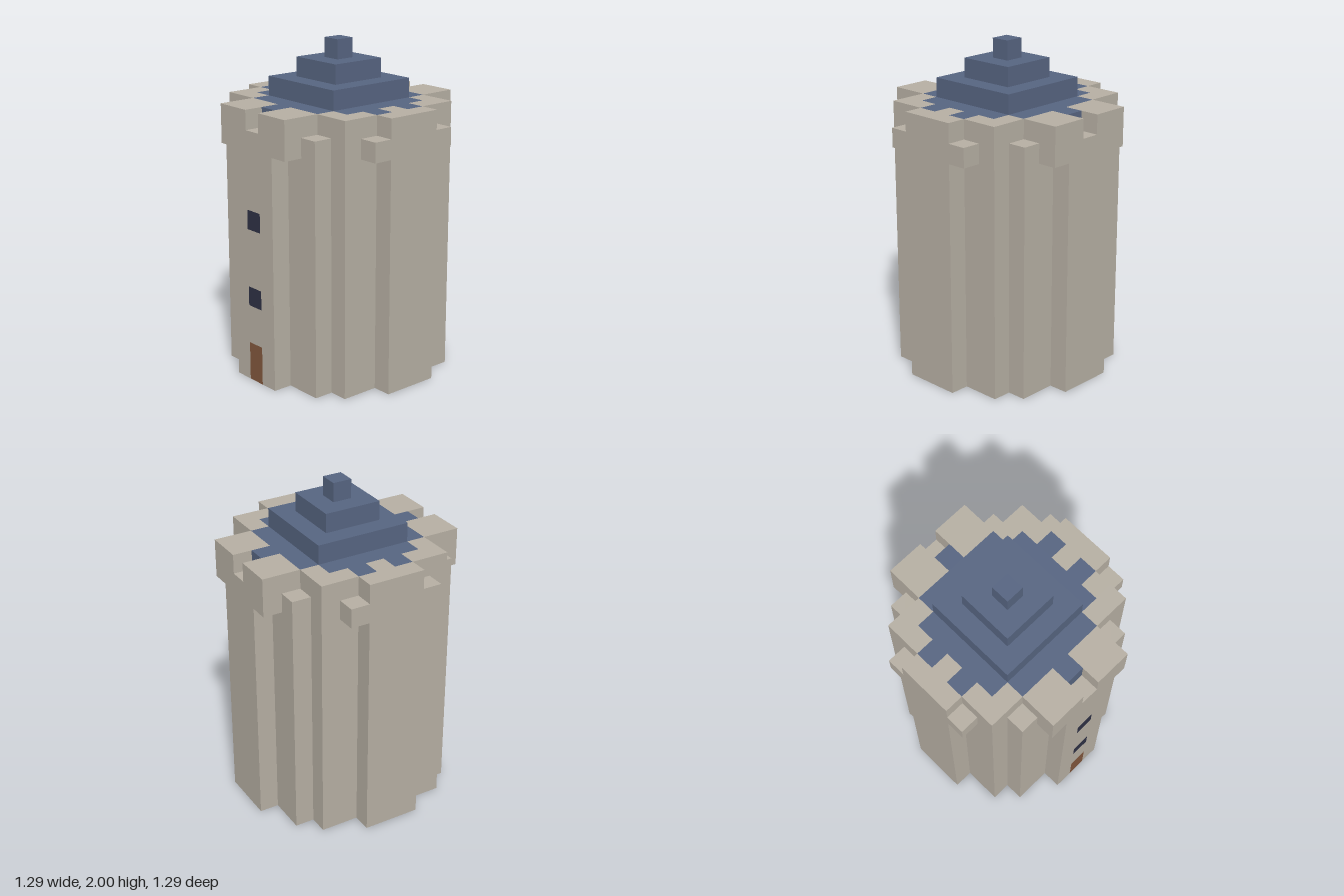
import * as THREE from 'three';

const U = 2 / 17; // edge of one block
const material = (color) => new THREE.MeshStandardMaterial({ color, flatShading: true });

export function createModel() {
  const tower = new THREE.Group();
  tower.name = 'tower';
  const stone = material(0xb5aea2);
  const slate = material(0x566480);
  const wood = material(0x80563c);
  const glass = material(0x2e3044);

  // Box given by its limits in block units
  function box(name, mat, [x0, x1], [y0, y1], [z0, z1]) {
    const geo = new THREE.BoxGeometry((x1 - x0) * U, (y1 - y0) * U, (z1 - z0) * U);
    geo.translate((x0 + x1) / 2 * U, (y0 + y1) / 2 * U, (z0 + z1) / 2 * U);
    const mesh = new THREE.Mesh(geo, mat);
    mesh.name = name;
    tower.add(mesh);
  }

  // Stepped plan mirrored from one quarter, with an optional slot in the front
  function steppedSlab(name, quarter, frontSlot, y0, y1) {
    const back = [...quarter].reverse();
    const points = [
      ...quarter,
      ...frontSlot,
      ...back.map(([x, z]) => [-x, z]),
      ...quarter.map(([x, z]) => [-x, -z]),
      ...back.map(([x, z]) => [x, -z]),
    ].map(([x, z]) => new THREE.Vector2(x * U, z * U));
    const geo = new THREE.ExtrudeGeometry(new THREE.Shape(points), { depth: (y1 - y0) * U, bevelEnabled: false });
    geo.rotateX(Math.PI / 2).translate(0, y1 * U, 0);
    const mesh = new THREE.Mesh(geo, stone);
    mesh.name = name;
    tower.add(mesh);
  }

  // Shaft, with a slot for the door and window column
  steppedSlab('shaft',
    [[5.5, 1.5], [4.5, 1.5], [4.5, 3.5], [3.5, 3.5], [3.5, 4.5], [1.5, 4.5], [1.5, 5.5]],
    [[0.5, 5.5], [0.5, 4.5], [-0.5, 4.5], [-0.5, 5.5]], 0, 12);

  // Door, windows and the wall between them
  const column = [
    ['door', wood, 0, 2], ['wallAboveDoor', stone, 2, 4], ['lowerWindow', glass, 4, 5],
    ['wallBetweenWindows', stone, 5, 8], ['upperWindow', glass, 8, 9], ['wallAboveWindow', stone, 9, 12],
  ];
  for (const [name, mat, y0, y1] of column) box(name, mat, [-0.5, 0.5], [y0, y1], [4.5, 5.5]);

  // Wider course under the battlements
  steppedSlab('parapet',
    [[5.5, 2.5], [4.5, 2.5], [4.5, 3.5], [3.5, 3.5], [3.5, 4.5], [2.5, 4.5], [2.5, 5.5]],
    [], 12, 13);

  // Battlements and the roof tabs between them
  const top = [13, 14];
  const span = (s, a, b) => (s > 0 ? [a, b] : [-b, -a]);
  for (const sx of [1, -1]) {
    box('sideMerlon', stone, span(sx, 4.5, 5.5), top, [-1.5, 1.5]);
    box('sideMerlonInner', stone, span(sx, 3.5, 4.5), top, [-0.5, 0.5]);
    box('roofDeckSide', slate, span(sx, 2.5, 3.5), top, [-2.5, 2.5]);
    for (const sz of [1, -1]) {
      box('endMerlon', stone, span(sx, 0.5, 2.5), top, span(sz, 3.5, 5.5));
      box('cornerMerlon', stone, span(sx, 2.5, 4.5), top, span(sz, 2.5, 3.5));
      box('cornerMerlonInner', stone, span(sx, 3.5, 4.5), top, span(sz, 1.5, 2.5));
      box('roofDeckSideTab', slate, span(sx, 3.5, 4.5), top, span(sz, 0.5, 1.5));
    }
  }
  for (const sz of [1, -1]) box('roofDeckEndTab', slate, [-0.5, 0.5], top, span(sz, 3.5, 4.5));
  box('roofDeck', slate, [-2.5, 2.5], top, [-3.5, 3.5]);

  // Stepped roof
  [2.5, 1.5, 0.5].forEach((r, i) => box('roofStep' + (i + 1), slate, [-r, r], [14 + i, 15 + i], [-r, r]));

  return tower;
}
